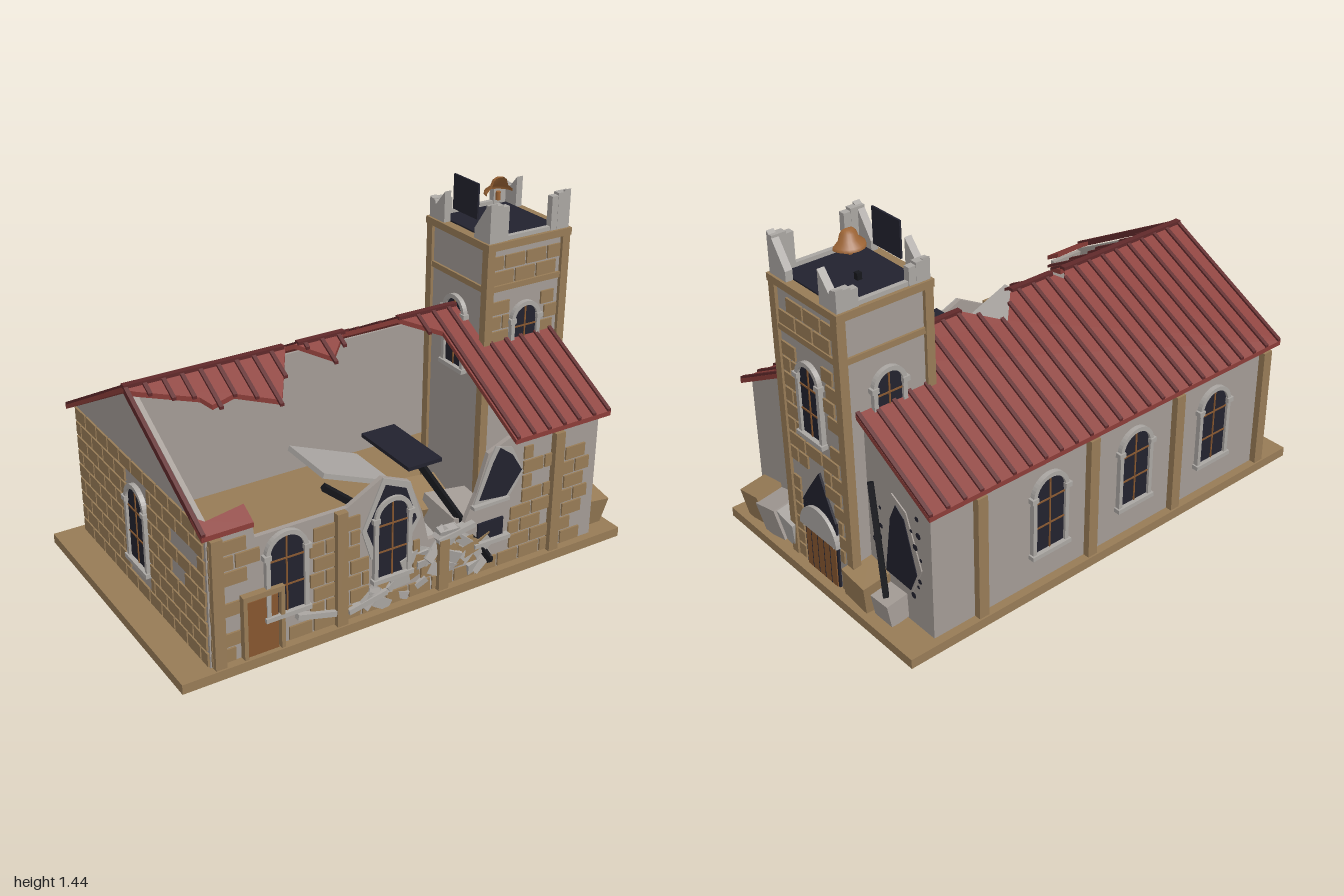
import * as THREE from 'three';
import { mergeGeometries } from 'three/addons/utils/BufferGeometryUtils.js';

const paint = (name, color, side = THREE.FrontSide) => {
  const m = new THREE.MeshStandardMaterial({ color, side });
  m.name = name;
  return m;
};
const M = {
  stone: paint('tan stone', 0x977b56), wall: paint('grey plaster', 0xa39b95),
  trim: paint('light grey trim', 0xaaa6a2), dark: paint('dark opening', 0x22222e, THREE.DoubleSide),
  roof: paint('red roof', 0x8b3d38, THREE.DoubleSide), rib: paint('dark red rib', 0x60292a),
  wood: paint('brown wood', 0x85562f), bell: paint('bronze', 0x9c6435, THREE.DoubleSide),
  beam: paint('charred beam', 0x16171c),
};

let seed = 7;
const rnd = () => (seed = (seed * 16807) % 2147483647) / 2147483647;

function add(parent, name, geo, mat, x = 0, y = 0, z = 0) {
  const m = new THREE.Mesh(geo, mat);
  m.name = name;
  m.position.set(x, y, z);
  parent.add(m);
  return m;
}
const box = (p, name, mat, w, h, d, x, y, z) => add(p, name, new THREE.BoxGeometry(w, h, d), mat, x, y, z);
const poly = (pts) => new THREE.Shape(pts.map(([x, y]) => new THREE.Vector2(x, y)));
const extrude = (shape, depth) => new THREE.ExtrudeGeometry(shape, { depth, bevelEnabled: false, curveSegments: 10 });
const plate = (p, name, mat, pts, depth, z = 0) => add(p, name, extrude(poly(pts), depth), mat, 0, 0, z);

// A group whose local +z is the outside of a wall
function face(parent, name, x, z, turn) {
  const g = new THREE.Group();
  g.name = name;
  g.position.set(x, 0, z);
  g.rotation.y = turn;
  parent.add(g);
  return g;
}

function arch(w, h, y = 0) {
  const s = new THREE.Shape(), r = w / 2;
  s.moveTo(-r, y);
  s.lineTo(r, y);
  s.lineTo(r, h - r);
  s.absarc(0, h - r, r, 0, Math.PI, false);
  s.closePath();
  return s;
}

function archedWindow(parent, x, y, w, h) {
  const g = new THREE.Group();
  g.name = 'window';
  g.position.set(x, y, 0);
  parent.add(g);
  add(g, 'pane', extrude(arch(w, h), 0.009), M.dark);
  const f = arch(w + 0.035, h + 0.018);
  f.holes.push(arch(w, h));
  add(g, 'frame', extrude(f, 0.02), M.trim);
  box(g, 'mullion', M.wood, 0.006, h, 0.004, 0, h / 2, 0.011);
  for (const k of [0.35, 0.7]) box(g, 'crossbar', M.wood, w, 0.006, 0.004, 0, h * k, 0.011);
  box(g, 'sill', M.trim, w + 0.05, 0.018, 0.028, 0, -0.006, 0.014);
  for (const s of [-1, 1]) box(g, 'archFoot', M.trim, 0.03, 0.02, 0.026, s * (w / 2 + 0.012), h - w / 2, 0.013);
}

function lerpAt(pts, x) {
  for (let i = 1; i < pts.length; i++) {
    const [ax, ay] = pts[i - 1], [bx, by] = pts[i];
    if (x <= bx && bx > ax) return ay + (by - ay) * Math.max(0, (x - ax) / (bx - ax));
  }
  return pts[pts.length - 1][1];
}

// Thin bricks in staggered courses, trimmed beside openings [left, right, low, high] and below a wall top
function bricks(parent, u0, u1, y0, y1, openings, keep, wallTop = [[u0, y1], [u1, y1]]) {
  const list = [], pitch = 0.0635, len = 0.105, h = 0.054;
  for (let row = 0, y = y0; y + h <= y1; y += pitch, row++) {
    for (let u = u0 - (row % 2) * len / 2; u < u1; u += len) {
      let a = Math.max(u, u0), b = Math.min(u + len - 0.01, u1);
      const mid = (a + b) / 2;
      for (const [l, r, lo, hi] of openings) {
        if (y + h < lo || y > hi || b < l || a > r) continue;
        if (mid < (l + r) / 2) b = Math.min(b, l);
        else a = Math.max(a, r);
      }
      if (b - a < 0.018 || rnd() > keep || y + h > Math.min(lerpAt(wallTop, a), lerpAt(wallTop, b))) continue;
      list.push(new THREE.BoxGeometry(b - a, h, 0.008).translate((a + b) / 2, y + h / 2, 0.004));
    }
  }
  add(parent, 'bricks', mergeGeometries(list), M.stone);
}

// Sheet on the roof slope; points are (x, z) in plan
function slopeGeo(pts, thick, lift = 0) {
  const g = extrude(poly(pts), thick).rotateX(Math.PI / 2);
  const p = g.attributes.position;
  for (let i = 0; i < p.count; i++) p.setY(i, p.getY(i) + 0.925 + lift - 0.54 * Math.abs(p.getZ(i)));
  g.computeVertexNormals();
  return g;
}

function beamBetween(parent, a, b, t) {
  const A = new THREE.Vector3(...a), B = new THREE.Vector3(...b), dir = B.clone().sub(A);
  const m = box(parent, 'fallenBeam', M.beam, t, dir.length(), t, 0, 0, 0);
  m.position.copy(A).add(B).multiplyScalar(0.5);
  m.quaternion.setFromUnitVectors(new THREE.Vector3(0, 1, 0), dir.normalize());
}

export function createModel() {
  const root = new THREE.Group();
  root.name = 'ruinedChapel';
  box(root, 'base', M.stone, 2, 0.04, 1.18, 0, 0.02, 0);

  // Broken front wall
  const front = face(root, 'frontWall', 0, 0.555, 0);
  const top = [[-0.87, 0.6], [-0.69, 0.6], [-0.68, 0.52], [-0.3, 0.52], [-0.15, 0.6], [-0.03, 0.55], [0.03, 0.4],
    [0.06, 0.27], [0.22, 0.27], [0.28, 0.4], [0.33, 0.56], [0.43, 0.6], [0.87, 0.6]];
  plate(front, 'plaster', M.wall, [[-0.87, 0.04], [0.87, 0.04], ...[...top].reverse()], 0.02, -0.02);
  bricks(front, -0.865, 0.83, 0.045, 0.605, [[-0.66, -0.46, 0.16, 0.53], [-0.21, -0.01, 0.15, 0.32], [-0.25, 0.02, 0.32, 0.6],
    [0.3, 0.5, 0.34, 0.6], [0.27, 0.44, 0.17, 0.3], [-0.75, -0.58, 0, 0.3]], 0.88, top);
  archedWindow(front, -0.56, 0.18, 0.14, 0.32);
  plate(front, 'breachRim', M.trim, [[-0.2, 0.27], [-0.05, 0.27], [0.02, 0.39], [-0.03, 0.55], [-0.15, 0.6], [-0.24, 0.4]], 0.006);
  plate(front, 'breach', M.dark, [[-0.19, 0.32], [-0.06, 0.31], [0, 0.39], [-0.05, 0.53], [-0.14, 0.57], [-0.22, 0.4]], 0.008);
  archedWindow(front, -0.11, 0.18, 0.13, 0.32);
  plate(front, 'breachRim', M.trim, [[0.26, 0.34], [0.43, 0.34], [0.5, 0.44], [0.44, 0.56], [0.36, 0.585], [0.33, 0.53]], 0.006);
  plate(front, 'breach', M.dark, [[0.29, 0.37], [0.42, 0.355], [0.49, 0.45], [0.44, 0.53], [0.38, 0.575], [0.35, 0.52]], 0.008);
  box(front, 'brokenWindow', M.dark, 0.12, 0.08, 0.009, 0.35, 0.225, 0.005);
  box(front, 'brokenSill', M.trim, 0.17, 0.018, 0.028, 0.35, 0.18, 0.014);
  box(front, 'brokenLedge', M.trim, 0.17, 0.014, 0.024, 0.34, 0.35, 0.012);
  box(front, 'sideDoor', M.wood, 0.13, 0.23, 0.012, -0.665, 0.155, 0.01);
  for (const x of [-0.738, -0.586]) box(front, 'doorJamb', M.stone, 0.016, 0.25, 0.028, x, 0.165, 0.014);
  box(front, 'doorLintel', M.stone, 0.168, 0.022, 0.028, -0.662, 0.293, 0.014);

  // Back wall with whole windows
  const back = face(root, 'backWall', 0, -0.555, Math.PI);
  box(back, 'plaster', M.wall, 1.74, 0.57, 0.02, 0, 0.325, -0.01);
  for (const x of [-0.33, 0.11, 0.55]) archedWindow(back, x, 0.18, 0.14, 0.32);
  [[-0.84, 0.57], [-0.335, 0.52], [0.12, 0.26], [0.66, 0.57]].forEach(([x, h]) => {
    box(root, 'buttress', M.stone, 0.045, h - 0.04, 0.03, x, (h + 0.04) / 2, 0.568);
    box(root, 'buttress', M.stone, 0.045, 0.53, 0.03, x, 0.305, -0.568);
  });

  // Gable ends
  const gable = [[-0.555, 0.04], [0.555, 0.04], [0.555, 0.605], [0, 0.9], [-0.555, 0.605]];
  const west = face(root, 'brickGable', -0.87, 0, -Math.PI / 2);
  plate(west, 'plaster', M.wall, gable, 0.02, -0.02);
  bricks(west, -0.55, 0.55, 0.045, 0.61, [[-0.095, 0.095, 0.16, 0.52]], 0.98);
  archedWindow(west, 0, 0.18, 0.14, 0.32);
  const east = face(root, 'towerGable', 0.87, 0, Math.PI / 2);
  plate(east, 'plaster', M.wall, gable, 0.02, -0.02);
  plate(east, 'breachRim', M.wall, [[0.29, 0.18], [0.44, 0.18], [0.5, 0.31], [0.42, 0.52], [0.34, 0.56], [0.32, 0.44]], 0.005);
  plate(east, 'breach', M.dark, [[0.29, 0.195], [0.435, 0.19], [0.475, 0.28], [0.41, 0.49], [0.365, 0.525], [0.33, 0.45]], 0.008);
  [[0.24, 0.5], [0.24, 0.42], [0.23, 0.3], [0.25, 0.24], [0.27, 0.38], [0.26, 0.33], [0.45, 0.46], [0.485, 0.53], [0.47, 0.4],
    [0.5, 0.36], [0.49, 0.26], [0.45, 0.175], [0.48, 0.23], [0.25, 0.18], [0.49, 0.46], [0.27, 0.46]].forEach(([x, y], i) => {
    add(east, 'hole', new THREE.CircleGeometry(0.008 + (i % 3) * 0.003, 8), M.dark, x, y, 0.006);
  });
  beamBetween(east, [0.24, 0.56, 0.02], [0.36, 0.1, 0.06], 0.022);

  // Roof sheets with a torn front slope
  const frontTear = [[-0.9, 0.01], [-0.86, 0.03], [-0.65, 0.11], [-0.62, 0.15], [-0.52, 0.13], [-0.36, 0.2], [-0.23, 0],
    [-0.19, 0], [-0.07, 0.09], [0.03, 0], [0.28, 0], [0.43, 0.1], [0.431, 0.59], [0.9, 0.59]];
  const backTear = [[-0.9, 0], [-0.25, 0], [-0.22, -0.04], [-0.18, 0], [0.03, 0], [0.13, -0.1], [0.28, 0], [0.9, 0]];
  add(root, 'backRoof', slopeGeo([[-0.9, -0.59], [0.9, -0.59], ...[...backTear].reverse()], 0.02), M.roof);
  for (const [a, b] of [[0, 7], [7, 10], [10, 14]]) {
    const part = frontTear.slice(a, b), l = part[0][0], r = part[part.length - 1][0];
    add(root, 'frontRoof', slopeGeo([[l, 0], [r, 0], ...[...part].reverse()], 0.02), M.roof);
  }
  add(root, 'eaveScrap', slopeGeo([[-0.9, 0.51], [-0.86, 0.54], [-0.7, 0.52], [-0.7, 0.59], [-0.9, 0.59]], 0.02), M.roof);
  const ribs = [];
  for (let i = 0; i <= 24; i++) {
    const x = -0.892 + i * 0.0743;
    const strip = (a, b, t) => ribs.push(slopeGeo([[x - 0.008, a], [x + 0.008, a], [x + 0.008, b], [x - 0.008, b]], t, 0.01));
    strip(-0.59, lerpAt(backTear, x), 0.012);
    const whole = x < -0.84, end = lerpAt(frontTear, x);
    if (whole || end > 0.3) strip(0, 0.59, whole ? 0.03 : 0.012);
    else if (end > 0.02) strip(0, end + 0.04 * rnd(), 0.012);
  }
  add(root, 'roofRibs', mergeGeometries(ribs), M.rib);
  for (const [a, b] of [[-0.9, -0.24], [-0.18, 0.03], [0.28, 0.56]]) box(root, 'ridgeCap', M.rib, b - a, 0.014, 0.025, (a + b) / 2, 0.928, 0);

  // Tower
  const tower = new THREE.Group();
  tower.name = 'tower';
  tower.position.set(0.76, 0, 0);
  root.add(tower);
  box(tower, 'shaft', M.wall, 0.38, 1.18, 0.38, 0, 0.63, 0);
  for (const x of [-1, 1]) for (const z of [-1, 1]) box(tower, 'cornerPost', M.stone, 0.036, 1.18, 0.036, x * 0.185, 0.63, z * 0.187);
  box(tower, 'cornice', M.stone, 0.41, 0.03, 0.42, 0, 1.225, 0);
  box(tower, 'stringCourse', M.stone, 0.4, 0.024, 0.4, 0, 1.045, 0);
  box(tower, 'belfryFloor', M.dark, 0.33, 0.008, 0.33, 0, 1.242, 0);
  for (let i = 0; i < 4; i++) {
    const turn = i * Math.PI / 2;
    const f = face(tower, 'towerFace', Math.sin(turn) * 0.19, Math.cos(turn) * 0.19, turn);
    archedWindow(f, 0, 0.66, 0.11, 0.29);
    const gaps = [[-0.08, 0.08, 0.64, 0.95], [-1, 1, 1.034, 1.056]];
    if (i === 1) gaps.push([-0.12, 0.12, 0, 0.34], [-0.1, 0.1, 0.34, 0.41], [-0.055, 0.05, 0.41, 0.5]);
    if (i < 2) bricks(f, -0.162, 0.162, i ? 0.045 : 0.68, 1.21, gaps, 0.96);
    if (i !== 1) continue;
    plate(f, 'pointedBreach', M.dark, [[-0.11, 0.33], [0.1, 0.33], [0.05, 0.43], [0.015, 0.51], [-0.05, 0.42]], 0.009);
    box(f, 'porch', M.dark, 0.21, 0.29, 0.009, 0, 0.185, 0.005);
    add(f, 'door', extrude(arch(0.19, 0.29, 0.04), 0.014), M.wood);
    for (const x of [-0.06, -0.02, 0.02, 0.06]) box(f, 'plankGap', M.dark, 0.002, 0.22, 0.002, x, 0.15, 0.0145);
    const frame = arch(0.235, 0.345, 0.23);
    frame.holes.push(arch(0.19, 0.315, 0.231));
    add(f, 'doorArch', extrude(frame, 0.024), M.trim);
  }

  // Broken parapet corners
  const tall = [[0.2, 1.24], [0.2, 1.4], [0.17, 1.38], [0.1, 1.28], [0.1, 1.24]];
  const low = [[-0.2, 1.24], [-0.1, 1.24], [-0.1, 1.37], [-0.16, 1.3], [-0.165, 1.315], [-0.2, 1.325]];
  for (const s of [-1, 1]) {
    for (const pts of [tall, low]) add(tower, 'parapetSide', extrude(poly(pts), 0.03).rotateY(-Math.PI / 2), M.trim, s * 0.18 + 0.015);
    for (const [z, h] of [[0.185, 0.15], [-0.185, 0.08]]) {
      box(tower, 'parapetCorner', M.trim, 0.06, h, 0.03, s * 0.165, 1.24 + h / 2, z);
      box(tower, 'parapetStub', M.trim, 0.03, h - 0.01, 0.028, s * 0.12, 1.235 + h / 2, z);
    }
    box(tower, 'parapetLip', M.trim, 0.38, 0.018, 0.02, 0, 1.248, s * 0.185);
  }

  // Broken half of the bell, clapper and trapdoor
  const profile = [[0.064, 0], [0.062, 0.012], [0.04, 0.03], [0.032, 0.054], [0.02, 0.065], [0.001, 0.067]].map(([x, y]) => new THREE.Vector2(x, y));
  add(tower, 'halfBell', new THREE.LatheGeometry(profile, 12, Math.PI / 2, Math.PI), M.bell, 0, 1.355, 0);
  add(tower, 'clapper', new THREE.CylinderGeometry(0.01, 0.01, 0.035, 8), M.bell, 0, 1.345, -0.01);
  box(tower, 'trapdoor', M.dark, 0.008, 0.145, 0.16, -0.15, 1.365, -0.02);
  box(tower, 'charredStub', M.beam, 0.02, 0.03, 0.02, 0, 1.258, -0.05);

  // Fallen slabs and beams
  const slab = box(root, 'fallenSlab', M.trim, 0.32, 0.02, 0.25, -0.2, 0.565, 0.345);
  slab.rotation.z = -0.38;
  box(root, 'darkSlab', M.dark, 0.15, 0.015, 0.32, 0.045, 0.592, 0.385);
  beamBetween(root, [0.06, 0.58, 0.45], [0.35, 0.09, 0.572], 0.024);
  beamBetween(root, [-0.35, 0.58, 0.47], [-0.2, 0.46, 0.5], 0.024);

  // Large blocks: x, y, z, size, lean, material
  [[-0.5, 0.11, 0.43, 0.13, 0.1, 'stone'], [0.23, 0.22, 0.26, 0.17, 0.4, 'stone'], [0.28, 0.2, 0.42, 0.2, 0.1, 'wall'],
    [0.13, 0.14, 0.36, 0.15, 0.2, 'trim'], [-0.42, 0.1, 0.32, 0.09, 0.2, 'stone'], [0.915, 0.115, 0.46, 0.125, 0.2, 'stone'],
    [0.915, 0.12, 0.33, 0.135, 0.25, 'wall'], [0.91, 0.13, 0.24, 0.12, -0.15, 'trim'], [0.915, 0.12, -0.23, 0.135, -0.12, 'stone'],
    [0.905, 0.09, -0.355, 0.1, 0.05, 'wall']].forEach(([x, y, z, s, lean, mat]) => {
    box(root, 'fallenBlock', M[mat], s, s, s, x, y, z).rotation.set(lean, 0, -0.15);
  });

  // Heap of small slabs against the broken wall
  for (let i = 0; i < 46; i++) {
    const x = -0.22 + rnd() * 0.58, s = 0.05 + rnd() * 0.05;
    const y = 0.065 + rnd() * Math.max(0.05, 0.24 - Math.abs(x - 0.14) * 0.5);
    const m = box(root, 'rubble', i % 7 ? M.trim : M.stone, s, s * 0.55, 0.035, x, y, 0.54 + rnd() * 0.015);
    m.rotation.set((rnd() - 0.5) * 0.5, (rnd() - 0.5) * 0.4, (rnd() - 0.5) * 1.6);
  }
  for (const [x, y, lean] of [[-0.44, 0.12, -0.25], [-0.22, 0.1, 0.2], [0.18, 0.27, 0.15]]) {
    box(root, 'rubbleShard', M.trim, 0.17, 0.022, 0.04, x, y, 0.56).rotation.z = lean;
  }
  return root;
}
